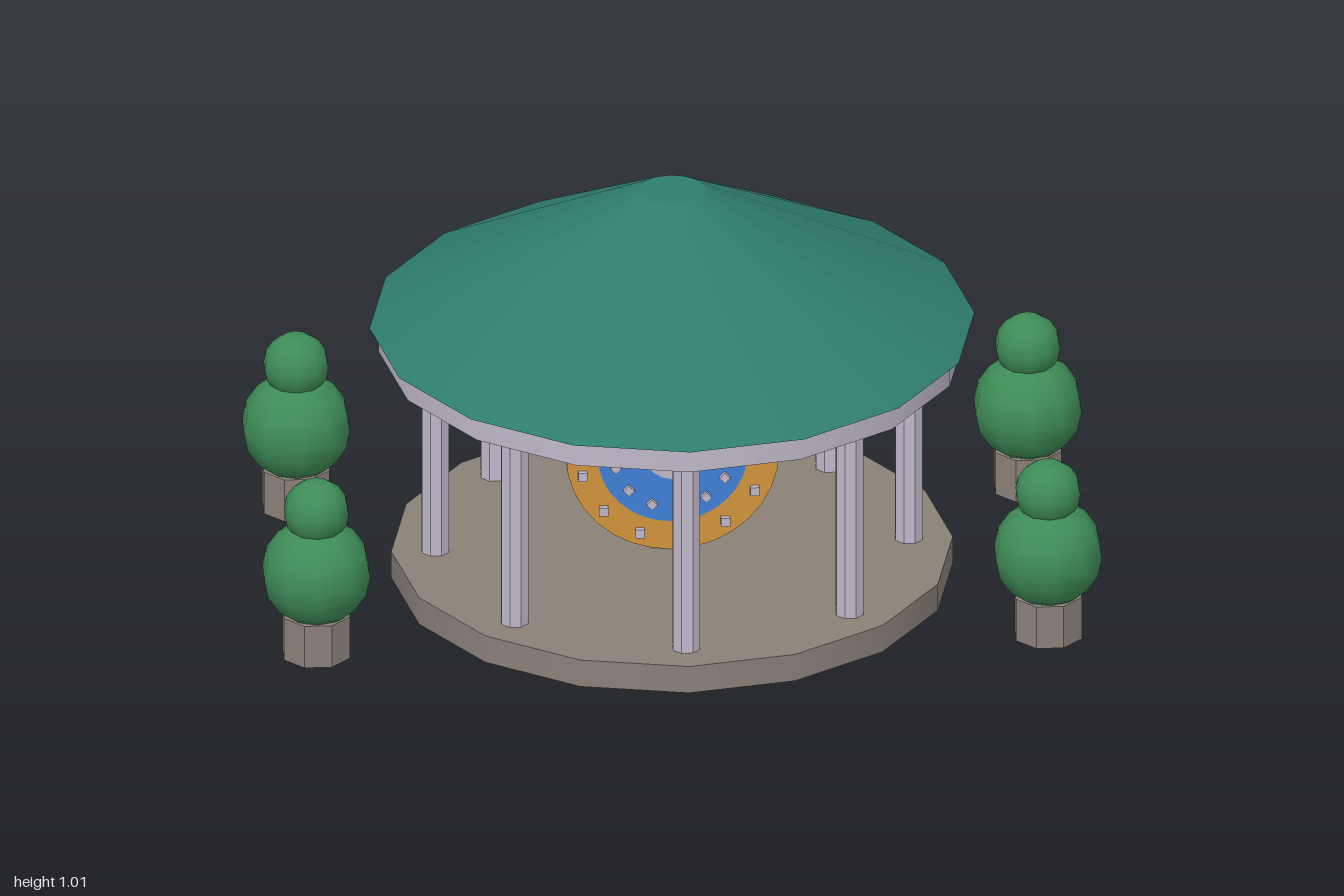
import * as THREE from 'three';
import { toCreasedNormals } from 'three/addons/utils/BufferGeometryUtils.js';

const paint = (name, color) => {
  const m = new THREE.MeshStandardMaterial({ color });
  m.name = name;
  return m;
};

export function createModel() {
  const roofGreen = paint('roof green', 0x2f7d6d);
  const paleLilac = paint('pale lilac', 0xc0b8c8);
  const stone = paint('stone', 0x8a8078);
  const gold = paint('gold', 0xd0943c);
  const blue = paint('blue', 0x4080d8);
  const leaf = paint('leaf green', 0x3f8c58);

  const root = new THREE.Group();
  root.name = 'pavilion';
  const add = (parent, name, geometry, material, x = 0, y = 0, z = 0) => {
    const mesh = new THREE.Mesh(geometry, material);
    mesh.name = name;
    mesh.position.set(x, y, z);
    parent.add(mesh);
    return mesh;
  };
  // Upright octagonal prism with a flat side facing each axis
  const octagon = (r, h) =>
    toCreasedNormals(new THREE.CylinderGeometry(r, r, h, 8).rotateY(Math.PI / 8), 0.5);

  // Platform, ring beam and roof share sixteen sides
  add(root, 'platform', new THREE.CylinderGeometry(0.67, 0.67, 0.07, 16), stone, 0, 0.035, 0);
  add(root, 'ringBeam', new THREE.CylinderGeometry(0.7, 0.7, 0.062, 16), paleLilac, 0, 0.63, 0);
  add(root, 'roof', new THREE.CylinderGeometry(0.08, 0.722, 0.346, 16), roofGreen, 0, 0.835, 0);

  // Eight columns
  const columnGeometry = octagon(0.035, 0.54);
  for (let i = 0; i < 8; i++) {
    const a = (i * Math.PI) / 4;
    add(root, 'column', columnGeometry, paleLilac, 0.565 * Math.cos(a), 0.335, 0.565 * Math.sin(a));
  }

  // Upright wheel: stepped discs, the same on both faces
  const wheel = new THREE.Group();
  wheel.name = 'wheel';
  wheel.position.y = 0.325;
  root.add(wheel);
  const disc = (r, depth, sides) =>
    new THREE.CylinderGeometry(r, r, depth, sides).rotateX(Math.PI / 2);
  add(wheel, 'wheelRim', disc(0.255, 0.056, 32), gold);
  add(wheel, 'wheelFace', disc(0.18, 0.06, 32), blue);
  add(wheel, 'wheelHub', disc(0.068, 0.064, 16), paleLilac);

  // Two rings of thirteen studs running through the wheel
  const outerStud = new THREE.BoxGeometry(0.022, 0.022, 0.084);
  const innerStud = new THREE.BoxGeometry(0.019, 0.019, 0.084).rotateZ(Math.PI / 4);
  for (let i = 0; i < 13; i++) {
    const a = (i * Math.PI * 2) / 13;
    const c = Math.cos(a), s = Math.sin(a);
    add(wheel, 'outerStud', outerStud, paleLilac, 0.221 * c, 0.221 * s, 0);
    add(wheel, 'innerStud', innerStud, paleLilac, 0.14 * c, 0.14 * s, 0);
  }

  // Four potted topiary trees
  const potGeometry = octagon(0.085, 0.11);
  const lowerBall = new THREE.SphereGeometry(0.133, 10, 8).rotateY(Math.PI / 2);
  const upperBall = new THREE.SphereGeometry(0.08, 10, 8).rotateY(Math.PI / 2);
  for (const sx of [-1, 1]) {
    for (const sz of [-1, 1]) {
      const tree = new THREE.Group();
      tree.name = 'tree';
      tree.position.set(0.873 * sx, 0, 0.4 * sz);
      root.add(tree);
      add(tree, 'pot', potGeometry, stone, 0, 0.055, 0);
      add(tree, 'lowerFoliage', lowerBall, leaf, 0, 0.218, 0);
      add(tree, 'upperFoliage', upperBall, leaf, 0, 0.377, 0);
    }
  }
  return root;
}
